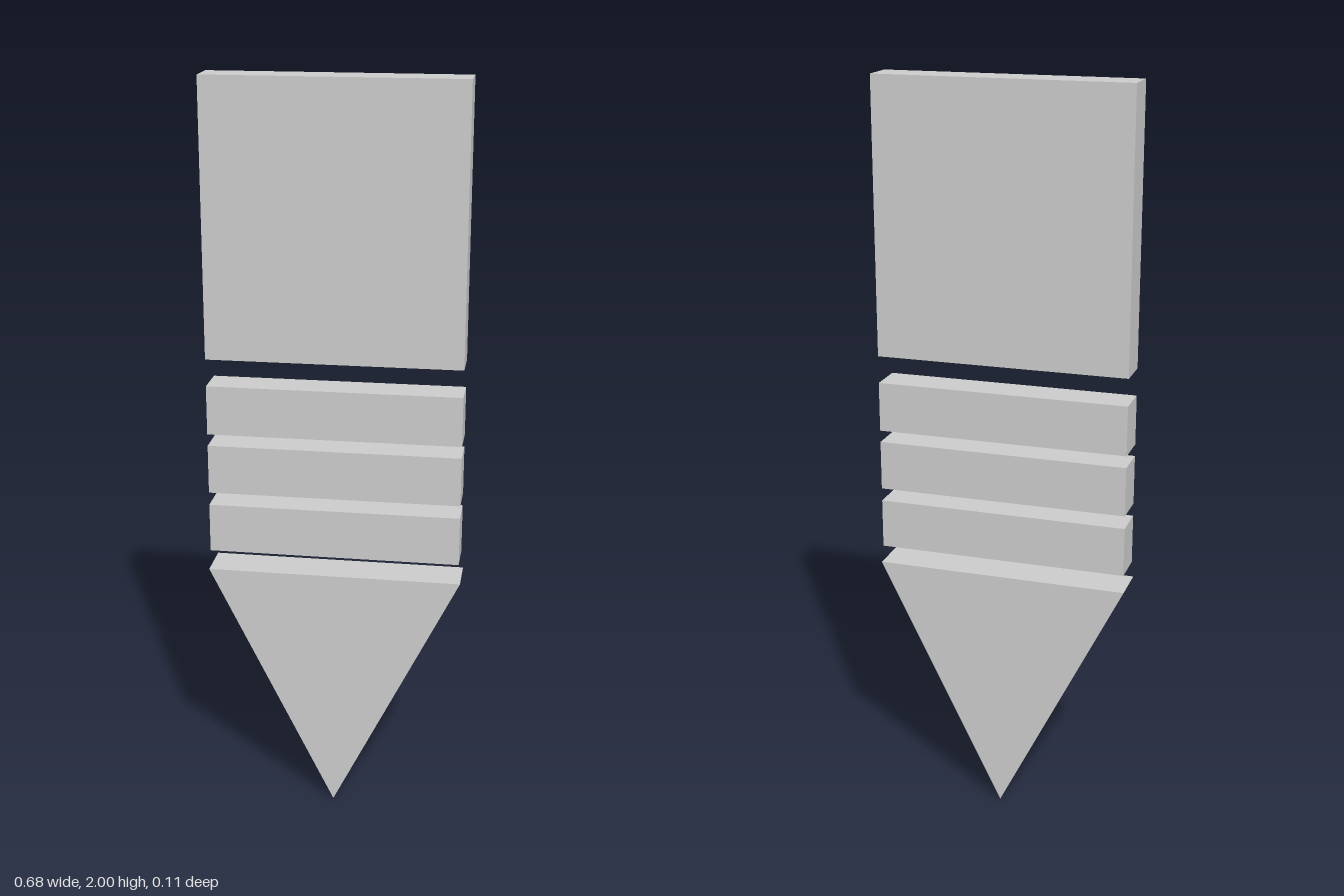
import * as THREE from 'three';

export function createModel() {
  const group = new THREE.Group();
  const material = new THREE.MeshStandardMaterial({ color: 0xcccccc, flatShading: true });
  const back = -0.056; // shared back plane

  const add = (name, geometry) => {
    const mesh = new THREE.Mesh(geometry, material);
    mesh.name = name;
    group.add(mesh);
  };

  // Rectangular slab between two heights
  const slab = (name, bottom, top) => {
    const depth = 0.097;
    const geometry = new THREE.BoxGeometry(0.674, top - bottom, depth);
    geometry.translate(-0.002, (bottom + top) / 2, back + depth / 2);
    add(name, geometry);
  };

  // Tall shaft plate and the three bars under it
  slab('shaftPlate', 1.276, 2);
  [1.07, 0.905, 0.737].forEach((y, i) => slab(`bar${i + 1}`, y, y + 0.133));

  // Downward arrow head, slightly thicker than the bars
  const triangle = new THREE.Shape([
    new THREE.Vector2(0, 0),
    new THREE.Vector2(0.341, 0.688),
    new THREE.Vector2(-0.341, 0.688),
  ]);
  const head = new THREE.ExtrudeGeometry(triangle, { depth: 0.112, bevelEnabled: false });
  head.translate(0, 0, back);
  add('arrowHead', head);

  return group;
}
